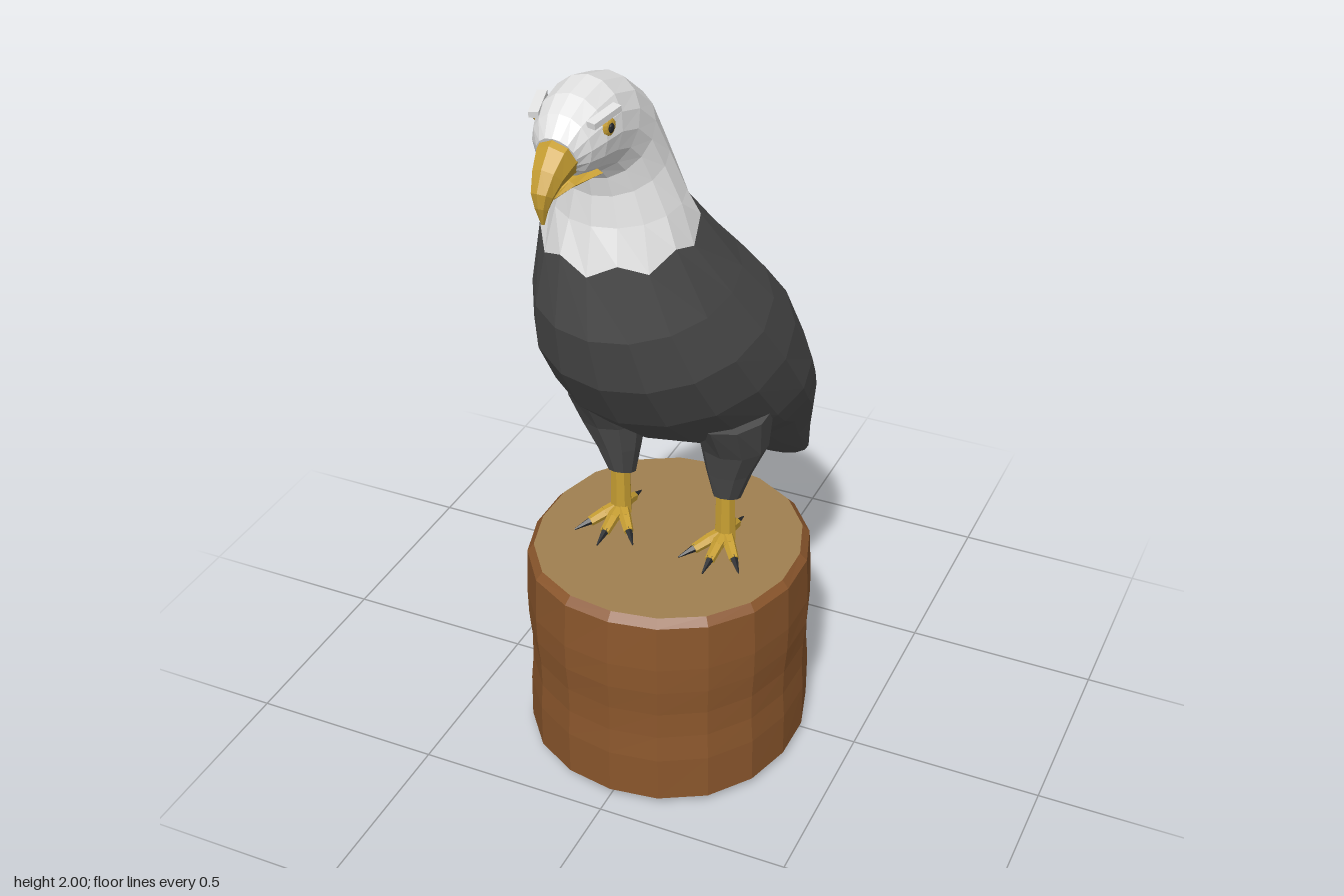
import * as THREE from 'three';

const mat = (name, color) => {
  const m = new THREE.MeshStandardMaterial({ color, flatShading: true });
  m.name = name;
  return m;
};

// Loft through rings. Section: [backZ, backY, frontZ, frontY, halfWidth, centreX, zigzag]
function loft(sections, n = 16) {
  const pos = [], idx = [];
  for (const [zb, yb, zf, yf, w, xc = 0, zig = 0] of sections) {
    for (let i = 0; i < n; i++) {
      const a = (i / n) * Math.PI * 2, c = Math.cos(a) / 2;
      pos.push(
        xc + w * Math.sin(a),
        (yb + yf) / 2 + (yb - yf) * c + (i % 2 ? zig : -zig),
        (zb + zf) / 2 + (zb - zf) * c);
    }
  }
  const rows = sections.length;
  for (let r = 0; r < rows - 1; r++) {
    for (let i = 0; i < n; i++) {
      const a = r * n + i, b = r * n + (i + 1) % n;
      idx.push(a, b, a + n, b, b + n, a + n);
    }
  }
  // End caps
  for (const [r, flip] of [[0, true], [rows - 1, false]]) {
    const [zb, yb, zf, yf, , xc = 0] = sections[r];
    const c = pos.length / 3;
    pos.push(xc, (yb + yf) / 2, (zb + zf) / 2);
    for (let i = 0; i < n; i++) {
      const a = r * n + i, b = r * n + (i + 1) % n;
      idx.push(c, flip ? b : a, flip ? a : b);
    }
  }
  const g = new THREE.BufferGeometry();
  g.setAttribute('position', new THREE.Float32BufferAttribute(pos, 3));
  g.setIndex(idx);
  g.computeVertexNormals();
  return g;
}

// Tapered rod between two points
function rod(a, b, ra, rb, sides = 6) {
  const p = new THREE.Vector3(...a), q = new THREE.Vector3(...b);
  const d = q.clone().sub(p);
  const g = new THREE.CylinderGeometry(rb, ra, d.length(), sides);
  g.applyQuaternion(new THREE.Quaternion().setFromUnitVectors(
    new THREE.Vector3(0, 1, 0), d.normalize()));
  const m = p.add(q).multiplyScalar(0.5);
  return g.translate(m.x, m.y, m.z);
}

export function createModel() {
  const model = new THREE.Group();
  model.name = 'perchedBird';
  const bark = mat('bark', 0x8a562c);
  const cutWood = mat('cutWood', 0xa08050);
  const darkFeather = mat('darkFeather', 0x4e4e4e);
  const whiteFeather = mat('whiteFeather', 0xe4e4e4);
  const gold = mat('gold', 0xc9a033);
  const black = mat('black', 0x26282b);

  const add = (name, geometry, material, parent = model) => {
    const m = new THREE.Mesh(geometry, material);
    m.name = name;
    parent.add(m);
    return m;
  };

  // Stump: a slightly uneven cylinder with a chamfered rim
  const stump = new THREE.CylinderGeometry(0.36, 0.36, 0.575, 18, 8);
  const p = stump.attributes.position;
  for (let i = 0; i < p.count; i++) {
    let x = p.getX(i), y = p.getY(i) + 0.2875, z = p.getZ(i);
    const a = Math.atan2(x, z);
    const edge = y < 0.01 || y > 0.57;
    let k = 1 + 0.012 * Math.sin(y * 21 - 0.6) + 0.012 * Math.cos(4 * a) * -1 + 0.008 * Math.sin(3 * a + y * 6);
    if (edge) k *= 0.955;
    else if (y < 0.1) y = 0.02;
    else if (y > 0.5) y = 0.555;
    p.setXYZ(i, x * k, y, z * k * 1.03 + 0.072);
  }
  stump.computeVertexNormals();
  add('stump', stump, [bark, cutWood, bark]);

  // White head and neck, running from the face down to the zigzag collar
  const collar = [0.155, 1.62, 0.5, 1.555, 0.178, 0, 0.016];
  add('headAndNeck', loft([
    [0.635, 1.925, 0.6, 1.835, 0.045],
    [0.6, 1.965, 0.585, 1.82, 0.068],
    [0.55, 1.99, 0.555, 1.81, 0.084],
    [0.47, 2.0, 0.525, 1.8, 0.092],
    [0.37, 1.97, 0.495, 1.79, 0.097],
    [0.28, 1.9, 0.475, 1.765, 0.102],
    [0.23, 1.8, 0.465, 1.72, 0.118],
    [0.19, 1.69, 0.472, 1.65, 0.15],
    collar,
  ]), whiteFeather);

  // Dark body with folded wings, tapering into the tail
  add('bodyAndTail', loft([
    collar,
    [-0.015, 1.465, 0.502, 1.38, 0.235],
    [-0.14, 1.35, 0.452, 1.225, 0.278],
    [-0.255, 1.235, 0.355, 1.08, 0.294],
    [-0.4, 1.03, 0.205, 0.95, 0.288],
    [-0.46, 0.94, 0.09, 0.875, 0.268],
    [-0.51, 0.845, -0.11, 0.77, 0.235],
    [-0.6, 0.68, -0.32, 0.62, 0.178],
    [-0.7, 0.45, -0.635, 0.4, 0.1],
  ]), darkFeather);

  // Hooked beak, tip first
  add('upperBeak', loft([
    [0.69, 1.757, 0.682, 1.757, 0.004],
    [0.705, 1.8, 0.675, 1.785, 0.014],
    [0.708, 1.835, 0.662, 1.805, 0.024],
    [0.685, 1.878, 0.635, 1.82, 0.034],
    [0.65, 1.915, 0.6, 1.825, 0.044],
    [0.6, 1.935, 0.56, 1.825, 0.05],
  ], 8), gold);
  add('lowerBeak', loft([
    [0.655, 1.808, 0.65, 1.796, 0.012],
    [0.61, 1.828, 0.605, 1.802, 0.035],
    [0.54, 1.835, 0.54, 1.805, 0.066],
  ], 8), gold);

  for (const s of [1, -1]) {
    const side = s > 0 ? 'left' : 'right';

    // Eye with pupil, shaded by a brow ridge
    const eye = add(side + 'Eye', new THREE.SphereGeometry(0.02, 10, 8), gold);
    eye.scale.x = 0.4;
    eye.position.set(s * 0.081, 1.926, 0.54);
    eye.rotation.y = -s * 0.25;
    const pupil = add(side + 'Pupil', new THREE.SphereGeometry(0.011, 8, 6), black);
    pupil.scale.x = 0.4;
    pupil.position.set(s * 0.088, 1.926, 0.542);
    const brow = add(side + 'Brow', new THREE.BoxGeometry(0.022, 0.014, 0.085), whiteFeather);
    brow.position.set(s * 0.075, 1.952, 0.548);
    brow.rotation.set(0.15, -s * 0.25, 0);

    // Feathered thigh with a tuft at the back
    const x = s * 0.145;
    add(side + 'Thigh', loft([
      [-0.06, 1.0, 0.2, 1.0, 0.1, s * 0.165],
      [-0.04, 0.88, 0.135, 0.89, 0.085, s * 0.165],
      [-0.015, 0.79, 0.108, 0.81, 0.058, s * 0.152],
      [0.0, 0.7, 0.085, 0.735, 0.034, x],
    ], 10), darkFeather);

    // Shank and foot
    const foot = new THREE.Group();
    foot.name = side + 'Foot';
    model.add(foot);
    add('shank', rod([x, 0.595, 0.05], [x, 0.76, 0.052], 0.028, 0.025, 8), gold, foot);
    for (const [turn, len] of [[0, 0.1], [0.65, 0.09], [-0.65, 0.09], [Math.PI, 0.075]]) {
      const at = (d, y) => [x + Math.sin(turn) * d, y, 0.05 + Math.cos(turn) * d];
      add('toe', rod(at(0, 0.61), at(len * 0.55, 0.603), 0.02, 0.016), gold, foot);
      add('toeTip', rod(at(len * 0.5, 0.604), at(len, 0.59), 0.016, 0.013), gold, foot);
      add('talon', rod(at(len - 0.005, 0.593), at(len + 0.045, 0.58), 0.011, 0.002, 5), black, foot);
    }
  }
  return model;
}
